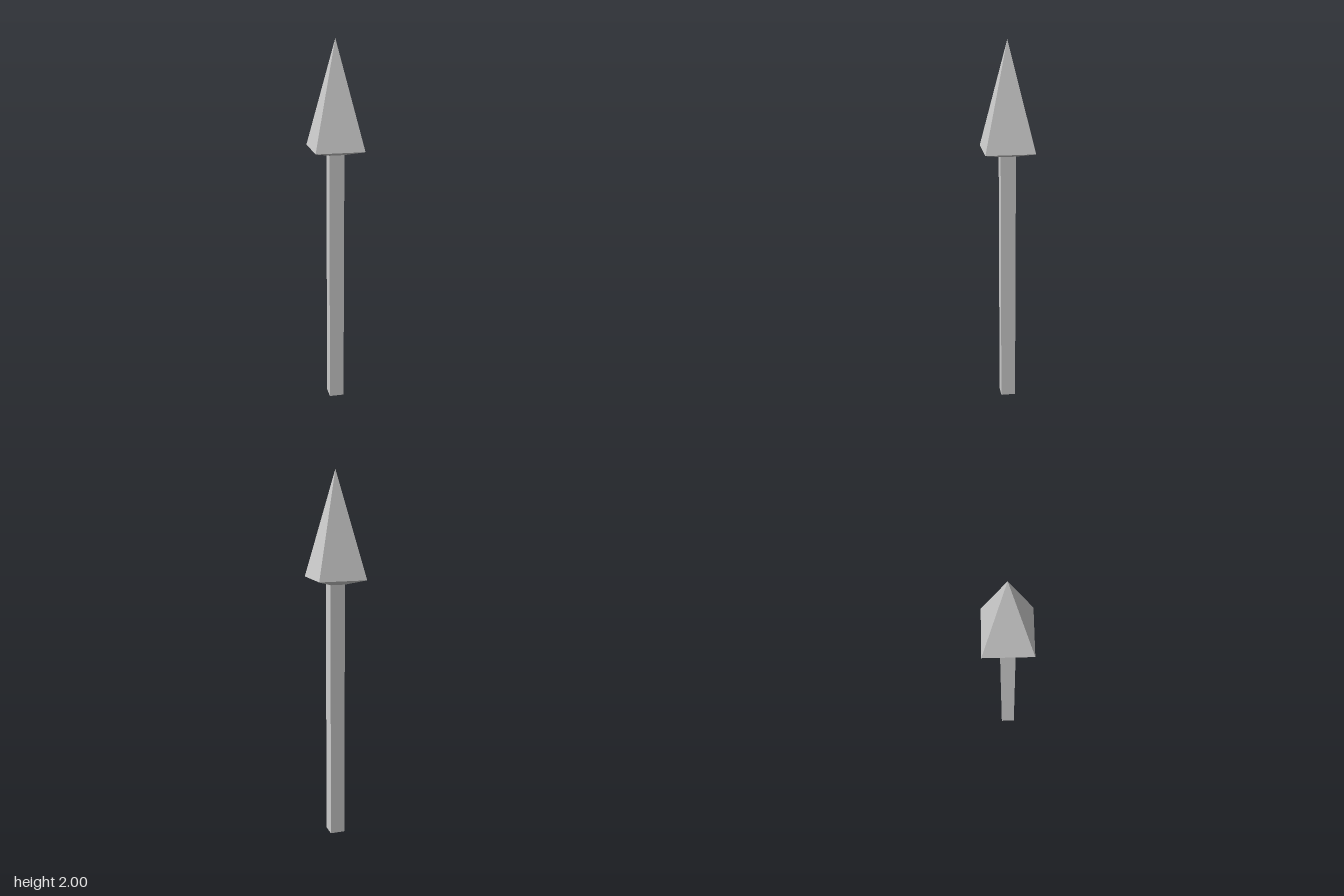
import * as THREE from 'three';

const SHAFT_HALF = 0.04, HEAD_HALF = 0.13;
const SHAFT_TOP = 1.41, HEAD_BASE = 1.44, TIP = 2;

export function createModel() {
  const group = new THREE.Group();
  const material = new THREE.MeshStandardMaterial({ color: 0xcccccc, flatShading: true });

  // Square shaft standing on the ground
  const shaft = new THREE.Mesh(
    new THREE.BoxGeometry(SHAFT_HALF * 2, SHAFT_TOP, SHAFT_HALF * 2), material);
  shaft.position.y = SHAFT_TOP / 2;
  shaft.name = 'shaft';
  group.add(shaft);

  // Four-sided head: shallow flare under the rim, then a tall pyramid to the tip
  const profile = [[SHAFT_HALF, SHAFT_TOP], [HEAD_HALF, HEAD_BASE], [0, TIP]]
    .map(([half, y]) => new THREE.Vector2(half * Math.SQRT2, y));
  const head = new THREE.Mesh(new THREE.LatheGeometry(profile, 4, Math.PI / 4), material);
  head.name = 'spearHead';
  group.add(head);

  return group;
}
